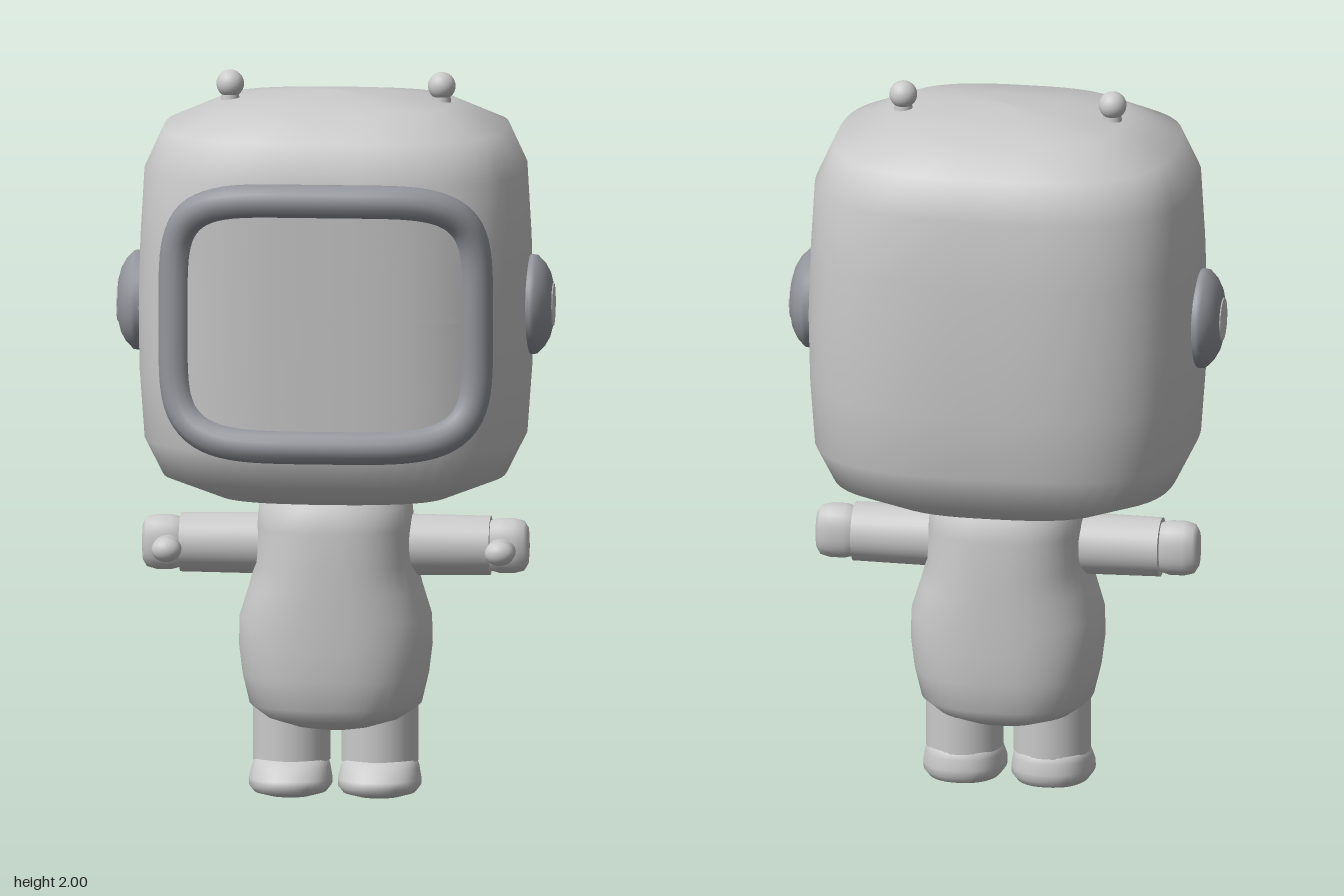
import * as THREE from 'three';

const ZC = -0.022; // depth of the figure's middle plane

// Point on a unit superellipse (higher n = squarer), evenly spread by angle
function squircle(t, n) {
  const c = Math.cos(t), s = Math.sin(t);
  const r = Math.pow(Math.abs(c) ** n + Math.abs(s) ** n, -1 / n);
  return [c * r, s * r];
}

// Smooth loft through squircle rings [y, halfX, halfZ, centreZ], listed bottom to top
function loft(rings, n, seg = 48) {
  const pos = [], idx = [];
  for (const [y, hx, hz, cz = 0] of rings) {
    for (let j = 0; j < seg; j++) {
      const [x, z] = squircle((j / seg) * Math.PI * 2, n);
      pos.push(x * hx, y, z * hz + cz);
    }
  }
  for (let i = 0; i < rings.length - 1; i++) {
    for (let j = 0; j < seg; j++) {
      const k = (j + 1) % seg;
      const a = i * seg + j, b = i * seg + k, c = a + seg, d = b + seg;
      idx.push(a, c, b, b, c, d);
    }
  }
  const g = new THREE.BufferGeometry();
  g.setAttribute('position', new THREE.Float32BufferAttribute(pos, 3));
  g.setIndex(idx);
  g.computeVertexNormals();
  return g;
}

// Depth of the helmet's front surface at a given x
function frontZ(x) {
  const n = 2.9;
  return 0.427 * Math.pow(1 - Math.pow(Math.abs(x) / 0.537, n), 1 / n) + ZC;
}

export function createModel() {
  const root = new THREE.Group();
  root.name = 'helmetedFigure';

  const suit = new THREE.MeshStandardMaterial({ color: 0xcacaca });
  suit.name = 'light grey suit';
  const trim = new THREE.MeshStandardMaterial({ color: 0x94969d });
  trim.name = 'blue grey trim';
  const glass = new THREE.MeshStandardMaterial({ color: 0xc4c4c4 });
  glass.name = 'pale visor';

  const add = (name, geo, mat, x = 0, y = 0, z = 0) => {
    const m = new THREE.Mesh(geo, mat);
    m.name = name;
    m.position.set(x, y, z);
    root.add(m);
    return m;
  };

  // Helmet
  add('helmet', loft([
    [0.82, 0, 0], [0.822, 0.18, 0.15], [0.84, 0.32, 0.265], [0.9, 0.47, 0.375],
    [1.0, 0.52, 0.412], [1.18, 0.533, 0.423], [1.36, 0.537, 0.427], [1.55, 0.531, 0.423],
    [1.74, 0.52, 0.412], [1.85, 0.47, 0.375], [1.917, 0.32, 0.265], [1.94, 0.14, 0.115],
    [1.95, 0, 0],
  ], 2.9, 64), suit, 0, 0, ZC);

  // Visor pane, bent to the helmet front
  const pane = new THREE.RingGeometry(0, 1, 64, 10);
  const p = pane.attributes.position;
  for (let i = 0; i < p.count; i++) {
    const r = Math.hypot(p.getX(i), p.getY(i));
    const [u, v] = squircle(Math.atan2(p.getY(i), p.getX(i)), 4.8);
    const x = u * r * 0.4;
    p.setXYZ(i, x, 1.362 + v * r * 0.325, frontZ(x) + 0.009);
  }
  pane.computeVertexNormals();
  add('visorPane', pane, glass);

  // Visor frame
  const path = [];
  for (let i = 0; i < 64; i++) {
    const [u, v] = squircle((i / 64) * Math.PI * 2, 4.8);
    path.push(new THREE.Vector3(u * 0.413, 1.362 + v * 0.34, frontZ(u * 0.413) + 0.003));
  }
  const curve = new THREE.CatmullRomCurve3(path, true);
  add('visorFrame', new THREE.TubeGeometry(curve, 128, 0.046, 14, true), trim);

  // Torso
  add('torso', loft([
    [0.185, 0, 0], [0.19, 0.06, 0.07], [0.203, 0.12, 0.14], [0.225, 0.19, 0.182],
    [0.26, 0.235, 0.206], [0.34, 0.254, 0.217], [0.42, 0.264, 0.22], [0.5, 0.262, 0.22],
    [0.58, 0.237, 0.22], [0.65, 0.218, 0.219], [0.75, 0.214, 0.216], [0.81, 0.208, 0.208],
    [0.86, 0.17, 0.17],
  ], 2.5), suit, 0, 0, ZC + 0.004);

  const V = (x, y) => new THREE.Vector2(x, y);
  for (const s of [1, -1]) {
    const side = s > 0 ? 'left' : 'right';
    const turn = -s * Math.PI / 2; // lays an upright part out sideways

    // Ear disc and its cap
    const ear = add(side + 'EarDisc', new THREE.LatheGeometry([
      V(0.13, 0.48), V(0.137, 0.54), V(0.135, 0.553), V(0.115, 0.573),
      V(0.09, 0.587), V(0.06, 0.595), V(0, 0.595),
    ], 40), trim, 0, 1.362, ZC);
    ear.rotation.z = turn;
    const cap = add(side + 'EarCap', new THREE.CylinderGeometry(0.058, 0.062, 0.006, 32),
      suit, s * 0.595, 1.362, ZC);
    cap.rotation.z = turn;

    // Antenna
    add(side + 'AntennaStem', new THREE.CylinderGeometry(0.022, 0.028, 0.06, 20), suit, s * 0.29, 1.925, ZC);
    add(side + 'AntennaBall', new THREE.SphereGeometry(0.038, 24, 16), suit, s * 0.29, 1.962, ZC);

    // Arm, hand and thumb
    const arm = add(side + 'Arm', new THREE.CylinderGeometry(0.081, 0.085, 0.28, 32), suit, s * 0.285, 0.695, ZC + 0.005);
    arm.rotation.z = turn;
    const hand = add(side + 'Hand', loft([
      [0.4, 0, 0], [0.405, 0.05, 0.035], [0.42, 0.067, 0.05], [0.45, 0.075, 0.056],
      [0.49, 0.075, 0.056], [0.517, 0.068, 0.05], [0.528, 0.05, 0.036], [0.532, 0, 0],
    ], 2.4, 32), suit, 0, 0.695, ZC + 0.005);
    hand.rotation.z = turn;
    const thumb = add(side + 'Thumb', new THREE.CapsuleGeometry(0.034, 0.07, 8, 20), suit, s * 0.457, 0.687, 0.05);
    thumb.rotation.x = Math.PI / 2;
    thumb.scale.x = 1.2;

    // Leg and boot
    add(side + 'Leg', new THREE.CylinderGeometry(0.106, 0.106, 0.2, 32), suit, s * 0.121, 0.2, -0.016);
    add(side + 'Boot', loft([
      [0, 0, 0, 0.005], [0.006, 0.06, 0.075, 0.005], [0.018, 0.1, 0.122, 0.005],
      [0.035, 0.113, 0.136, 0.006], [0.055, 0.113, 0.134, 0.004], [0.085, 0.107, 0.118, -0.008],
      [0.105, 0.1, 0.105, -0.014], [0.112, 0.085, 0.09, -0.016], [0.114, 0, 0, -0.016],
    ], 2.3, 40), suit, s * 0.122, 0, 0);
  }
  return root;
}
